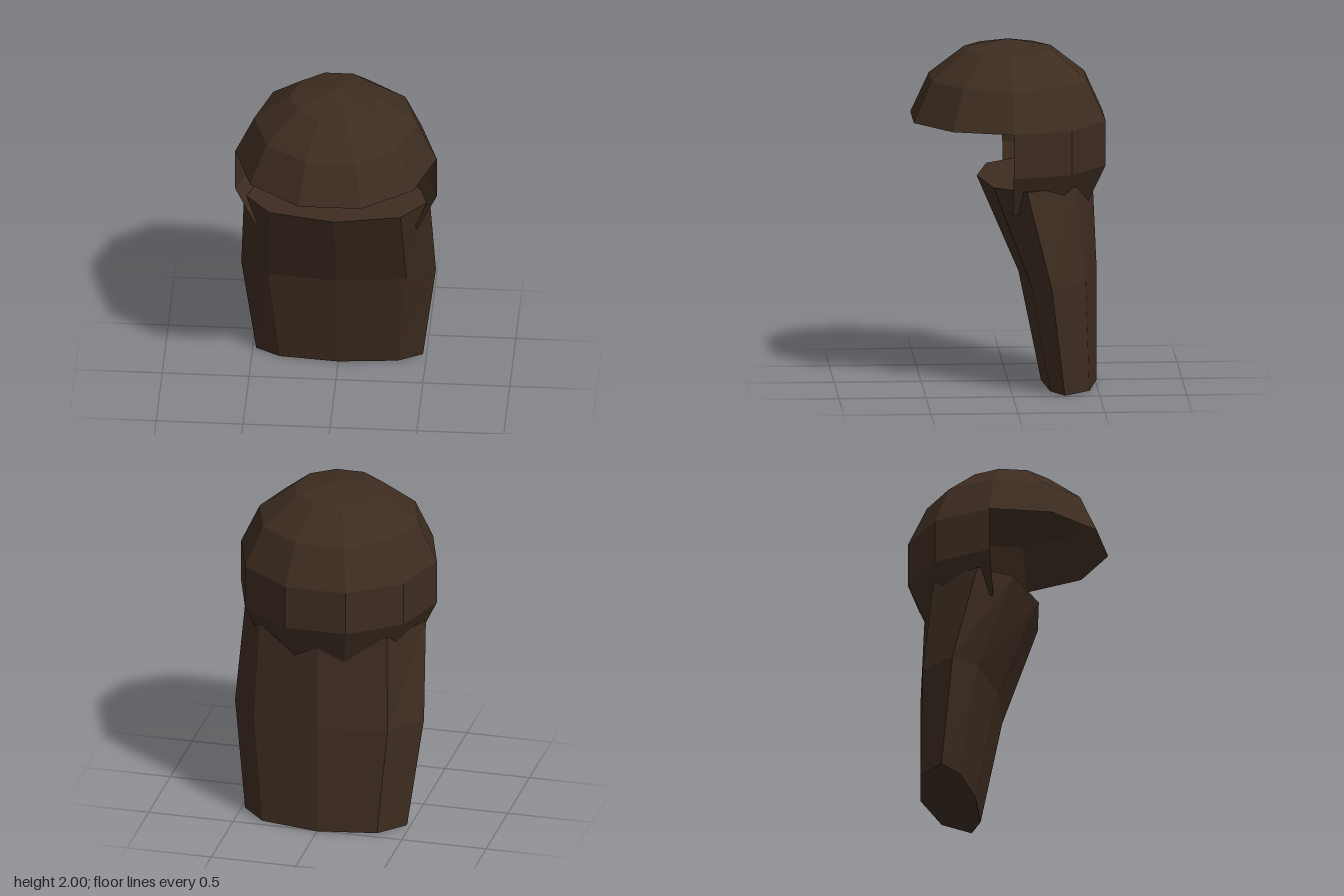
import * as THREE from 'three';

export function createModel() {
  const group = new THREE.Group();
  group.name = 'hair';
  const brown = new THREE.MeshStandardMaterial({ color: 0x3d2c20, flatShading: true, side: THREE.DoubleSide });
  brown.name = 'dark brown hair';

  const add = (name, geometry) => {
    const flat = geometry.toNonIndexed();
    flat.computeVertexNormals();
    const mesh = new THREE.Mesh(flat, brown);
    mesh.name = name;
    group.add(mesh);
  };
  // Ten-sided shell of revolution with a corner on the x axis
  const shell = (profile, sides) => new THREE.LatheGeometry(
    profile.map(([r, y]) => new THREE.Vector2(r, y)), sides, Math.PI / 2, sides * Math.PI / 5);

  // Crown: full dome, open underneath
  add('crown', shell([[0.58, 1.545], [0.47, 1.78], [0.263, 1.943], [0, 2]], 10));

  // Back of the head: half shell behind z = 0, tucking into the long hair
  add('backBand', shell([[0.465, 1.05], [0.58, 1.287], [0.58, 1.545]], 5));

  // Long hair: eight-sided sections, flatter in front than behind
  const rows = [ // y, half width, centre z, front depth, back depth
    [0, 0.48, -0.30, 0.11, 0.21],
    [0.64, 0.56, -0.22, 0.16, 0.29],
    [1.2, 0.535, -0.08, 0.26, 0.405],
  ];
  const drape = new THREE.CylinderGeometry(1, 1, 2, 8, 2);
  const p = drape.attributes.position;
  for (let i = 0; i < p.count; i++) {
    const [y, w, cz, front, back] = rows[Math.round(p.getY(i)) + 1];
    const z = p.getZ(i);
    p.setXYZ(i, p.getX(i) * w, y, cz + z * (z > 0 ? front : back));
  }
  add('longHair', drape);

  return group;
}
